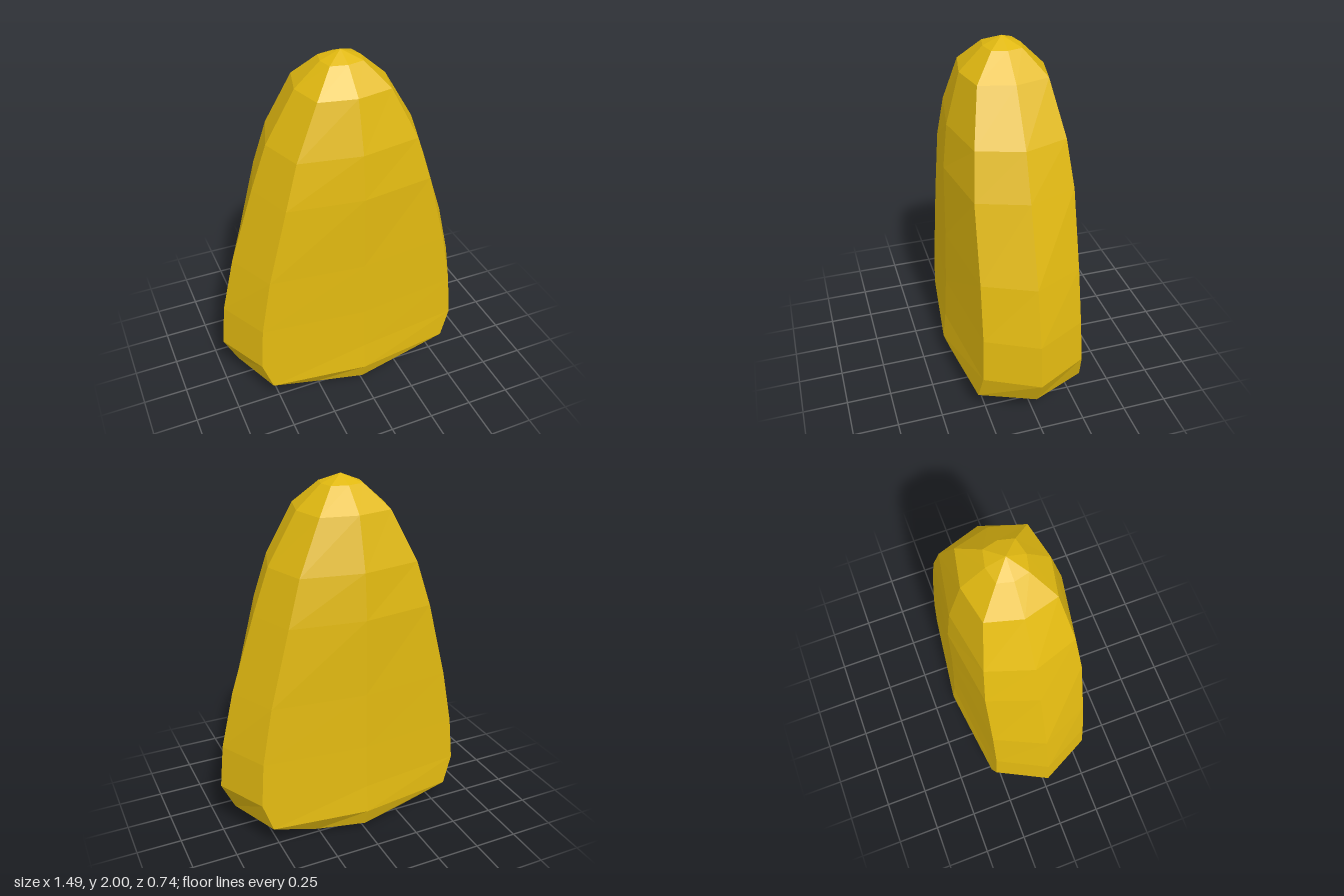
import * as THREE from 'three';

// Eight-sided rings: height, side point x, corner x, front point z, corner z
const RINGS = [
  [0.035, 0.33, 0.27, 0.335, 0.27],
  [0.14, 0.67, 0.545, 0.37, 0.30],
  [0.30, 0.745, 0.60, 0.353, 0.285],
  [0.55, 0.72, 0.58, 0.34, 0.275],
  [0.87, 0.645, 0.52, 0.33, 0.27],
  [1.30, 0.505, 0.41, 0.325, 0.265],
  [1.55, 0.415, 0.335, 0.30, 0.24],
  [1.83, 0.25, 0.20, 0.226, 0.185],
  [1.955, 0.11, 0.09, 0.10, 0.08],
];

function ringPoints([y, sideX, cornerX, frontZ, cornerZ]) {
  return [
    [sideX, y, 0], [cornerX, y, cornerZ], [0, y, frontZ], [-cornerX, y, cornerZ],
    [-sideX, y, 0], [-cornerX, y, -cornerZ], [0, y, -frontZ], [cornerX, y, -cornerZ],
  ];
}

// Faceted skin between the rings, closed by a point at each end
function facetedShell() {
  const rings = RINGS.map(ringPoints);
  const bottom = [0, 0, 0];
  const top = [0, 2, 0];
  const first = rings[0];
  const last = rings[rings.length - 1];
  const positions = [];
  const tri = (a, b, c) => positions.push(...a, ...b, ...c);

  for (let i = 0; i < 8; i++) {
    const j = (i + 1) % 8;
    tri(bottom, first[i], first[j]);
    for (let r = 0; r < rings.length - 1; r++) {
      const low = rings[r];
      const high = rings[r + 1];
      tri(low[i], high[i], low[j]);
      tri(low[j], high[i], high[j]);
    }
    tri(last[i], top, last[j]);
  }

  const geometry = new THREE.BufferGeometry();
  geometry.setAttribute('position', new THREE.Float32BufferAttribute(positions, 3));
  geometry.computeVertexNormals();
  return geometry;
}

export function createModel() {
  const golden = new THREE.MeshStandardMaterial({ color: 0xe0b810, flatShading: true });
  golden.name = 'golden yellow';

  const kernel = new THREE.Mesh(facetedShell(), golden);
  kernel.name = 'kernel';

  const group = new THREE.Group();
  group.name = 'facetedKernel';
  group.add(kernel);
  return group;
}
